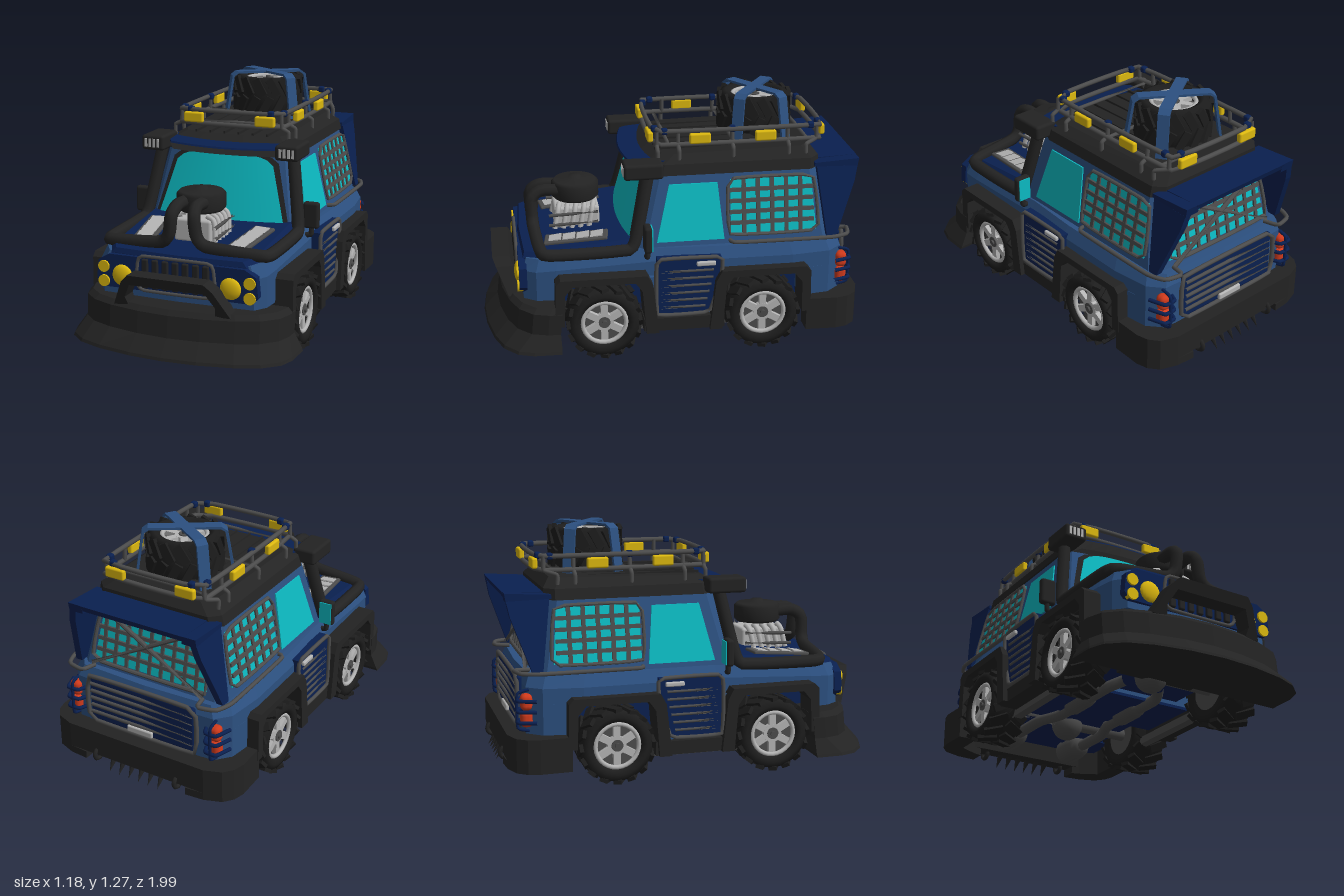
import * as THREE from 'three';
import { mergeGeometries } from 'three/addons/utils/BufferGeometryUtils.js';
import { RoundedBoxGeometry } from 'three/addons/geometries/RoundedBoxGeometry.js';

const mat = (name, color) => Object.assign(new THREE.MeshStandardMaterial({ color }), { name });
const dark = mat('black plastic', 0x232323), blue = mat('body blue', 0x2c5080), navy = mat('navy', 0x0a2050);
const cyan = mat('glass', 0x0cbac2), yellow = mat('lamp yellow', 0xdcb80f), grey = mat('tube grey', 0x4c4c4c);
const light = mat('bright metal', 0xb4b4b4), red = mat('lamp red', 0xd03a1c), rubber = mat('rubber', 0x1d1d1d);

const box = (w, h, d, x = 0, y = 0, z = 0) => new THREE.BoxGeometry(w, h, d).translate(x, y, z);
const rbox = (w, h, d, x, y, z, r = 0.015) => new RoundedBoxGeometry(w, h, d, 2, r).translate(x, y, z);
const disc = (r, d, x, y, z) => new THREE.CylinderGeometry(r, r, d, 20).rotateX(Math.PI / 2).translate(x, y, z);
const lathe = pts => new THREE.LatheGeometry(pts.map(p => new THREE.Vector2(...p)), 28);
const tube = (pts, r = 0.01, closed = false, tension = 0.2) => {
  const curve = new THREE.CatmullRomCurve3(pts.map(p => new THREE.Vector3(...p)), closed, 'catmullrom', tension);
  return new THREE.TubeGeometry(curve, pts.length > 2 ? pts.length * 6 : 2, r, 8, closed);
};
const merge = list => mergeGeometries(list.map(g => g.index ? g.toNonIndexed() : g.clone()));
const moved = (geo, rule) => { // shift every vertex by a rule
  const p = geo.attributes.position, v = new THREE.Vector3();
  for (let i = 0; i < p.count; i++) { rule(v.fromBufferAttribute(p, i)); p.setXYZ(i, v.x, v.y, v.z); }
  geo.computeVertexNormals();
  return geo;
};
const flip = geo => { // mirrored copy with corrected winding
  const g = merge([geo]).scale(-1, 1, 1);
  for (const a of Object.values(g.attributes)) for (let i = 0; i < a.count; i += 3) for (let k = 0; k < a.itemSize; k++) {
    const t = a.getComponent(i, k);
    a.setComponent(i, k, a.getComponent(i + 2, k));
    a.setComponent(i + 2, k, t);
  }
  return g;
};
const extrude = (pts, depth) => new THREE.ExtrudeGeometry(new THREE.Shape(pts.map(p => new THREE.Vector2(...p))), { depth, bevelEnabled: false });
const sidePlate = (pts, x0, x1) => extrude(pts, x1 - x0).rotateY(-Math.PI / 2).translate(x1, 0, 0); // points are [z, y]
const flatPlate = (pts, y0, y1) => extrude(pts, y1 - y0).rotateX(Math.PI / 2).translate(0, y1, 0); // points are [x, z]

// Horizontal ring from a half outline [x, z] running front to back, and a solid through such rings
const ring = (half, y, sx = 1, sz = 1) => [...half, ...half.slice(1, -1).reverse().map(([x, z]) => [-x, z])]
  .map(([x, z]) => new THREE.Vector3(x * sx, typeof y === 'function' ? y(z) : y, z * sz));
const loft = rings => {
  const out = [], n = rings[0].length, last = rings[rings.length - 1];
  const tri = (...v) => v.forEach(p => out.push(p.x, p.y, p.z));
  const mid = r => r.reduce((s, p) => s.add(p), new THREE.Vector3()).divideScalar(n);
  for (let i = 0; i < n; i++) {
    const j = (i + 1) % n;
    rings.slice(1).forEach((b, k) => { const a = rings[k]; tri(a[i], a[j], b[j]); tri(a[i], b[j], b[i]); });
    tri(mid(rings[0]), rings[0][j], rings[0][i]);
    tri(mid(last), last[i], last[j]);
  }
  const g = new THREE.BufferGeometry().setAttribute('position', new THREE.Float32BufferAttribute(out, 3));
  g.computeVertexNormals();
  return g;
};

// Cabin surface rules
const side = y => 0.425 - 0.2 * (y - 0.57), front = y => 0.26 - 0.25 * (y - 0.57), back = y => -0.82 + 0.2 * (y - 0.57);
const plan = (s, f, b) => [...[0, 0.25, 0.5, 0.75, 0.9].map(t => [t * s, f - 0.05 * t * t]), [s, f - 0.1], [s, b + 0.05], [s - 0.05, b], [0, b]];
const onSide = g => moved(g, v => { v.x += side(v.y); });
const onBack = g => moved(g, v => { v.z += back(v.y); });

function add(parent, name, geo, material) {
  const m = new THREE.Mesh(geo, material);
  m.name = name;
  parent.add(m);
}
// Wheel with its axis along x, outer face at +x
function wheel(parent, name) {
  const g = new THREE.Group();
  g.name = name;
  parent.add(g);
  const treads = [], spokes = [], axial = (r, w, x) => new THREE.CylinderGeometry(r, r, w, 24).rotateZ(Math.PI / 2).translate(x, 0, 0);
  for (let i = 0; i < 16; i++) for (const s of [-1, 1])
    treads.push(box(0.1, 0.02, 0.042).rotateY(s * 0.5).translate(s * 0.05, 0.184, 0).rotateX((i + s * 0.25) * Math.PI / 8));
  for (let i = 0; i < 6; i++) spokes.push(box(0.025, 0.08, 0.036, 0.062, 0.07, 0).rotateX(i * Math.PI / 3));
  const tyre = lathe([[0.11, -0.09], [0.15, -0.1], [0.18, -0.088], [0.185, 0], [0.18, 0.088], [0.15, 0.1], [0.125, 0.09], [0.118, 0.06]]).rotateZ(-Math.PI / 2);
  add(g, 'tyre', merge([tyre, ...treads]), rubber);
  add(g, 'rimDish', axial(0.12, 0.13, -0.02), grey);
  add(g, 'rimSpokes', merge([new THREE.TorusGeometry(0.112, 0.012, 8, 28).rotateY(Math.PI / 2).translate(0.075, 0, 0), ...spokes, axial(0.048, 0.03, 0.06)]), light);
  add(g, 'hubCap', merge([axial(0.03, 0.03, 0.065), axial(0.014, 0.05, 0.065)]), grey);
  return g;
}

export function createModel() {
  const car = new THREE.Group();
  car.name = 'armouredOffRoader';
  const one = (name, geo, m) => add(car, name, geo, m);
  const pair = (name, geo, m) => { one(name + 'Left', geo, m); one(name + 'Right', flip(geo), m); };

  // Lower body and hood
  const nose = [[0, 0.8], [0.4, 0.785], [0.445, 0.72], [0.455, 0.62]], tail = [[0.49, -0.6], [0.465, -0.8], [0.4, -0.875], [0, -0.89]];
  const hull = [...nose, [0.465, 0.1], [0.485, -0.2], ...tail], deck = z => 0.56 - 0.07 * Math.max(0, z - 0.25);
  one('body', loft([ring(hull, 0.42), ring(hull, z => deck(z) - 0.06), ring(hull, deck, 0.94, 0.975)]), blue);
  one('nose', loft([0.31, 0.42].map(y => ring([...nose, [0, 0.62]], y))), blue);
  one('tail', loft([0.24, 0.42].map(y => ring([[0, -0.66], [0.485, -0.66], ...tail.slice(1)], y))), blue);
  one('middle', box(0.97, 0.24, 0.36, 0, 0.3, -0.03), blue);
  one('floor', merge([box(0.64, 0.25, 1.36, 0, 0.325, -0.05), box(0.86, 0.02, 0.36, 0, 0.175, -0.03), box(0.84, 0.02, 0.22, 0, 0.23, -0.77)]), navy);
  pair('wheelWell', merge([0.39, -0.44].map(z => box(0.15, 0.012, 0.46, 0.39, 0.418, z))), dark);
  const bonnet = [[0, 0.795], [0.36, 0.78], [0.4, 0.7], [0.41, 0.2], [0, 0.2]], rise = z => 0.595 - 0.1 * (z - 0.25);
  one('hood', loft([ring(bonnet, 0.48), ring(bonnet, z => rise(z) - 0.025), ring(bonnet, rise, 0.94, 0.99)]), navy);

  // Cabin, glass and roof
  one('cabin', loft([0.53, 0.93].map(y => ring(plan(side(y), front(y), back(y)), y))), blue);
  const screen = (grow, off) => moved(new THREE.PlaneGeometry(2, 1, 16, 4), v => {
    const t = v.y + 0.5, u = v.x;
    v.y = 0.59 - grow / 2 + t * (0.335 + grow - 0.05 * u ** 6);
    v.x = u * (0.35 + grow - 0.08 * t);
    v.z = front(v.y) - 0.05 * (v.x / side(v.y)) ** 2 + off;
  });
  one('windscreenFrame', screen(0.025, 0.006), dark);
  one('windscreen', screen(0, 0.013), cyan);
  one('roof', loft([ring(plan(0.365, 0.16, -0.76), 0.92), ring(plan(0.352, 0.15, -0.76), 0.975), ring(plan(0.29, 0.09, -0.72), z => 1.01 - 0.02 * z)]), dark);
  one('roofRibs', merge([-0.2, -0.12, -0.04, 0.04, 0.12, 0.2].map(x => box(0.01, 0.014, 0.78, x, 1.014, -0.31))), dark);
  const brow = f => plan(0.325, f, 0), browTop = z => 0.985 - 0.09 * z;
  one('windscreenBrow', loft([ring(brow(0.225), 0.928), ring(brow(0.25), browTop)]), grey);
  one('browTop', loft([ring(brow(0.25), browTop), ring(brow(0.245), z => browTop(z) + 0.008)]), navy);
  pair('doorWindow', onSide(sidePlate([[0.1, 0.585], [-0.25, 0.585], [-0.22, 0.875], [0.03, 0.875]], 0, 0.007)), cyan);
  pair('rearSideWindow', onSide(sidePlate([[-0.285, 0.61], [-0.735, 0.61], [-0.71, 0.885], [-0.285, 0.885]], 0, 0.007)), cyan);
  const cage = [tube([[0.012, 0.61, -0.28], [0.012, 0.61, -0.74], [0.012, 0.89, -0.715], [0.012, 0.89, -0.28]], 0.009, true, 0.1)];
  for (let i = 1; i < 6; i++) cage.push(box(0.012, 0.28, 0.021, 0.01, 0.75, -0.28 - i * 0.074));
  for (let i = 1; i < 5; i++) cage.push(box(0.012, 0.019, 0.44, 0.011, 0.61 + i * 0.056, -0.5));
  pair('windowCage', onSide(merge(cage)), grey);

  // Rear window, cage and shroud
  one('rearWindow', onBack(extrude([[-0.33, 0.6], [0.33, 0.6], [0.29, 0.89], [-0.29, 0.89]], 0.007).translate(0, 0, -0.008)), cyan);
  const lattice = [tube([[-0.33, 0.6, -0.02], [0.33, 0.6, -0.02], [0.29, 0.89, -0.02], [-0.29, 0.89, -0.02]], 0.01, true, 0.1)];
  for (let i = -4; i <= 4; i++) lattice.push(box(0.018, 0.29, 0.012, i * 0.068, 0.745, -0.012));
  for (let i = 1; i < 5; i++) lattice.push(box(0.63, 0.018, 0.012, 0, 0.6 + i * 0.058, -0.013));
  for (const s of [-1, 1]) lattice.push(tube([[s * 0.33, 0.59, -0.045], [-s * 0.27, 0.9, -0.06]], 0.011));
  one('rearCage', onBack(merge(lattice)), grey);
  pair('shroudSide', onSide(sidePlate([[-0.74, 0.93], [-0.79, 0.57], [-0.84, 0.57], [-0.94, 0.85], [-0.955, 0.925]], -0.025, 0.012)), navy);
  pair('shroudCorner', sidePlate([[-0.73, 0.93], [-0.955, 0.92], [-0.963, 0.965], [-0.73, 0.95]], 0, 0.08)
    .applyMatrix4(new THREE.Matrix4().makeTranslation(0.285, 0, 0)).rotateZ(-0.0), navy);
  one('shroudTop', sidePlate([[-0.7, 0.935], [-0.955, 0.935], [-0.965, 0.965], [-0.72, 0.955]], -0.3, 0.3), navy);

  // Fenders, sills and bumpers
  const arch = c => sidePlate([[-0.28, 0.13], [-0.25, 0.4], [-0.22, 0.455], [0.22, 0.455], [0.245, 0.43], [0.25, 0.2], [0.205, 0.2], [0.2, 0.37], [0.16, 0.418], [-0.16, 0.418], [-0.195, 0.37], [-0.215, 0.13]]
    .map(([z, y]) => [c + z * Math.sign(c), y]), 0.4, 0.545);
  pair('frontFender', arch(0.385), dark);
  pair('rearFender', arch(-0.44), dark);
  pair('sill', box(0.13, 0.07, 0.42, 0.455, 0.165, -0.03), dark);
  const plow = [[0, 0.992], [0.18, 0.98], [0.36, 0.945], [0.48, 0.9], [0.56, 0.83], [0.588, 0.75], [0.592, 0.61], [0, 0.61]];
  const upper = plow.map(([x, z]) => [x * 0.925, z > 0.62 ? z - 0.075 : z]);
  one('plow', loft([ring(plow, 0.07), ring(plow, 0.085, 0.99, 0.995), ring(upper, 0.16), ring(upper, 0.27, 1, 0.985), ring(upper, 0.295, 0.96, 0.96)]), dark);
  one('bullBar', moved(extrude([[-0.31, 0.28], [-0.23, 0.28], [-0.24, 0.33], [-0.2, 0.405], [0.2, 0.405], [0.24, 0.33], [0.23, 0.28], [0.31, 0.28], [0.24, 0.42], [0.2, 0.46], [-0.2, 0.46], [-0.24, 0.42]], 0.09), v => { v.z += 0.77 + (v.y - 0.28) * 0.42; }), dark);
  const corner = [[0.34, -0.88], [0.44, -0.83], [0.44, -0.67], [0.54, -0.67], [0.545, -0.83], [0.53, -0.89], [0.49, -0.94], [0.4, -0.972]];
  one('rearBumper', flatPlate([...corner, ...corner.map(([x, z]) => [-x, z]).reverse()], 0.13, 0.265), dark);
  pair('bumperCorner', flatPlate([[0.3, -0.89], ...corner, [0.3, -0.98]], 0.09, 0.13), dark);
  one('bumperTeeth', merge([-2.5, -1.5, -0.5, 0.5, 1.5, 2.5].map(i => new THREE.ConeGeometry(0.022, 0.1, 6).rotateX(-2.5).translate(i * 0.058, 0.11, -0.965))), dark);
  pair('towHook', new THREE.TorusGeometry(0.03, 0.012, 6, 14).rotateY(Math.PI / 2).translate(0.24, 0.13, -0.955), dark);

  // Front face
  one('facePanel', extrude([[-0.43, 0.38], [-0.4, 0.345], [0.4, 0.345], [0.43, 0.38], [0.42, 0.48], [0.36, 0.515], [-0.36, 0.515], [-0.42, 0.48]], 0.04).translate(0, 0, 0.765), navy);
  one('grilleFrame', tube([[-0.17, 0.35], [0.17, 0.35], [0.21, 0.39], [0.2, 0.5], [0.17, 0.525], [-0.17, 0.525], [-0.2, 0.5], [-0.21, 0.39]].map(p => [...p, 0.81]), 0.009, true), grey);
  one('grilleSlats', merge([-3, -2, -1, 0, 1, 2, 3].map(i => rbox(0.034, 0.15, 0.02, i * 0.054, 0.437, 0.81, 0.008))), dark);
  pair('headlight', new THREE.SphereGeometry(0.055, 20, 10).scale(1, 1, 0.4).translate(0.288, 0.412, 0.805), yellow);
  pair('smallLamps', merge([0.375, 0.45].map(y => disc(0.03, 0.03, 0.388, y, 0.8))), yellow);

  // Engine, intake pipes and hood vents
  one('engineBlock', rbox(0.2, 0.12, 0.24, 0, 0.615, 0.48), light);
  pair('engineHeaders', merge([0, 1, 2, 3, 4].map(i => tube([[0.07, 0.69, 0.39 + i * 0.045], [0.11, 0.665, 0.4 + i * 0.045], [0.125, 0.57, 0.42 + i * 0.045]], 0.014, false, 0.5))), light);
  pair('engineBrace', merge([0.6, 0.655].map(y => tube([[0.132, y, 0.37], [0.132, y - 0.01, 0.63]], 0.009))), grey);
  one('airScoop', lathe([[0, 0.7], [0.11, 0.7], [0.125, 0.715], [0.125, 0.785], [0.11, 0.8], [0.035, 0.803], [0.03, 0.82], [0, 0.82]]).translate(0, 0, 0.48), dark);
  pair('intakePipe', tube([[0.05, 0.755, 0.54], [0.05, 0.76, 0.66], [0.06, 0.72, 0.715], [0.075, 0.62, 0.715], [0.13, 0.575, 0.71], [0.38, 0.555, 0.69], [0.43, 0.55, 0.64], [0.435, 0.555, 0.3], [0.425, 0.59, 0.215], [0.365, 0.96, 0.13]], 0.033, false, 0.35), dark);
  pair('snorkelHead', rbox(0.125, 0.08, 0.2, 0.372, 0.968, 0.165), dark);
  pair('snorkelSlits', merge([0, 1, 2, 3].map(i => box(0.014, 0.045, 0.008, 0.34 + i * 0.023, 0.968, 0.265))), light);
  const onHood = g => g.rotateX(0.1).rotateY(-0.13).translate(0.27, 0.574, 0.5);
  pair('hoodVentFrame', onHood(rbox(0.115, 0.02, 0.33, 0, 0, 0, 0.008)), grey);
  pair('hoodVentLouvres', onHood(merge([-1.5, -0.5, 0.5, 1.5].map(i => box(0.078, 0.012, 0.064).rotateX(0.1).translate(0, 0.008, i * 0.072)))), light);

  // Doors and mirrors
  const door = [[0.11, 0.22], [0.11, 0.525], [-0.22, 0.525], [-0.22, 0.42], [-0.16, 0.22]];
  pair('doorPanel', sidePlate(door, 0.46, 0.51), navy);
  pair('doorTubes', merge([tube(door.map(([z, y]) => [0.515, y, z]), 0.011, true, 0.1),
    ...[0.255, 0.295, 0.335, 0.375, 0.415, 0.455].map(y => tube([[0.512, y, 0.09], [0.512, y, -0.13 - (Math.min(y, 0.42) - 0.22) * 0.25]], 0.007))]), grey);
  pair('doorHandle', rbox(0.02, 0.025, 0.1, 0.52, 0.495, -0.14, 0.008), light);
  pair('mirror', rbox(0.085, 0.14, 0.04, 0.477, 0.633, 0.155), dark);
  pair('mirrorGlass', box(0.068, 0.12, 0.006, 0.477, 0.633, 0.133), cyan);
  pair('mirrorArm', tube([[0.42, 0.52, 0.16], [0.475, 0.53, 0.155], [0.477, 0.58, 0.155]], 0.014), dark);

  // Tail: rails, panel and lamps
  pair('beltRail', tube([[0.42, 0.575, -0.28], [0.46, 0.575, -0.31], [0.465, 0.575, -0.8], [0.43, 0.575, -0.9], [0.34, 0.575, -0.92], [0.32, 0.57, -0.84]], 0.011), grey);
  one('tailPanel', rbox(0.62, 0.25, 0.03, 0, 0.415, -0.89), navy);
  one('tailBars', merge([tube([[-0.31, 0.29, -0.905], [0.31, 0.29, -0.905], [0.31, 0.54, -0.905], [-0.31, 0.54, -0.905]], 0.012, true, 0.1),
    ...[0.34, 0.38, 0.42, 0.46, 0.5].map(y => tube([[-0.3, y, -0.908], [0.3, y, -0.908]], 0.01))]), grey);
  one('tailPlate', rbox(0.15, 0.035, 0.02, 0, 0.32, -0.918, 0.008), light);
  pair('tailLamp', merge([0.345, 0.43].map(y => rbox(0.065, 0.085, 0.06, 0.415, y, -0.875, 0.025))), red);
  pair('tailLampGuard', merge([...[0.33, 0.385, 0.44].map(y => tube([[0.36, y, -0.87], [0.38, y, -0.915], [0.44, y, -0.915], [0.47, y, -0.83]], 0.01)),
    tube([[0.41, 0.49, -0.86], [0.41, 0.47, -0.918], [0.41, 0.3, -0.918], [0.41, 0.28, -0.86]], 0.008)]), navy);

  // Roof rack, lamps and spare wheel
  const loop = (y, s) => tube([[-s, y, 0.085], [s, y, 0.085], [s, y, -0.77], [-s, y, -0.77]], 0.013, true, 0.08);
  one('rackRails', merge([loop(1.13, 0.28), loop(1.06, 0.28), ...[0.02, -0.32, -0.7].map(z => tube([[-0.28, 1.06, z], [0.28, 1.06, z]], 0.01))]), grey);
  pair('rackPosts', merge([0.08, -0.03, -0.31, -0.6, -0.75].map(z => tube([[0.28, 1.13, z], [0.285, 1.06, z], [0.32, 1.04, Math.max(z, -0.69)], [0.32, 0.985, Math.max(z, -0.69)]], 0.011))), grey);
  pair('rackClamps', merge([[0.28, 0.04], [0.28, -0.31], [0.28, -0.72], [0.225, 0.085], [0.225, -0.77]].map(([x, z]) => rbox(0.034, 0.034, 0.034, x, 1.13, z, 0.01))), navy);
  pair('rackLamps', merge([...[0.108, -0.79].map(z => rbox(0.11, 0.055, 0.03, 0.2, 1.092, z, 0.01)), ...[-0.14, -0.48].map(z => rbox(0.03, 0.055, 0.11, 0.3, 1.092, z, 0.01))]), yellow);
  const spare = wheel(car, 'spareWheel');
  spare.rotation.z = Math.PI / 2;
  spare.position.set(0, 1.15, -0.48);
  const strap = [[0.245, 1.03], [0.21, 1.25], [0.18, 1.272]], inner = [[0.175, 1.26], [0.198, 1.245], [0.232, 1.03]], mirror = ([x, y]) => [-x, y];
  pair('spareStrap', extrude([...strap, ...strap.map(mirror).reverse(), ...inner.map(mirror).reverse(), ...inner], 0.06).translate(0, 0, -0.03).rotateY(0.58).translate(0, 0, -0.48), blue);

  // Wheels and underbody
  for (const [end, z] of [['front', 0.385], ['rear', -0.44]]) {
    for (const s of [1, -1]) {
      const w = wheel(car, end + 'Wheel' + (s > 0 ? 'Left' : 'Right'));
      w.position.set(s * 0.445, 0.2, z);
      if (s < 0) w.rotation.y = Math.PI;
    }
    one(end + 'Axle', merge([tube([[-0.4, 0.2, z], [0.4, 0.2, z]], 0.035), new THREE.SphereGeometry(0.085, 14, 10).translate(0, 0.19, z)]), grey);
  }
  const muffler = (r, len, x, z) => new THREE.CapsuleGeometry(r, len, 4, 12).rotateX(Math.PI / 2).translate(x, 0.17, z);
  pair('exhaust', merge([tube([[0.1, 0.18, 0.3], [0.15, 0.16, 0.2], [0.15, 0.16, -0.25], [0.2, 0.16, -0.4], [0.2, 0.16, -0.7]], 0.03), muffler(0.05, 0.14, 0.15, -0.05), muffler(0.07, 0.1, 0.2, -0.72)]), grey);
  pair('frameRail', box(0.05, 0.04, 0.56, 0.4, 0.12, -0.03), grey);
  one('skidPlate', box(0.44, 0.03, 0.24, 0, 0.17, 0.53), dark);
  return car;
}
